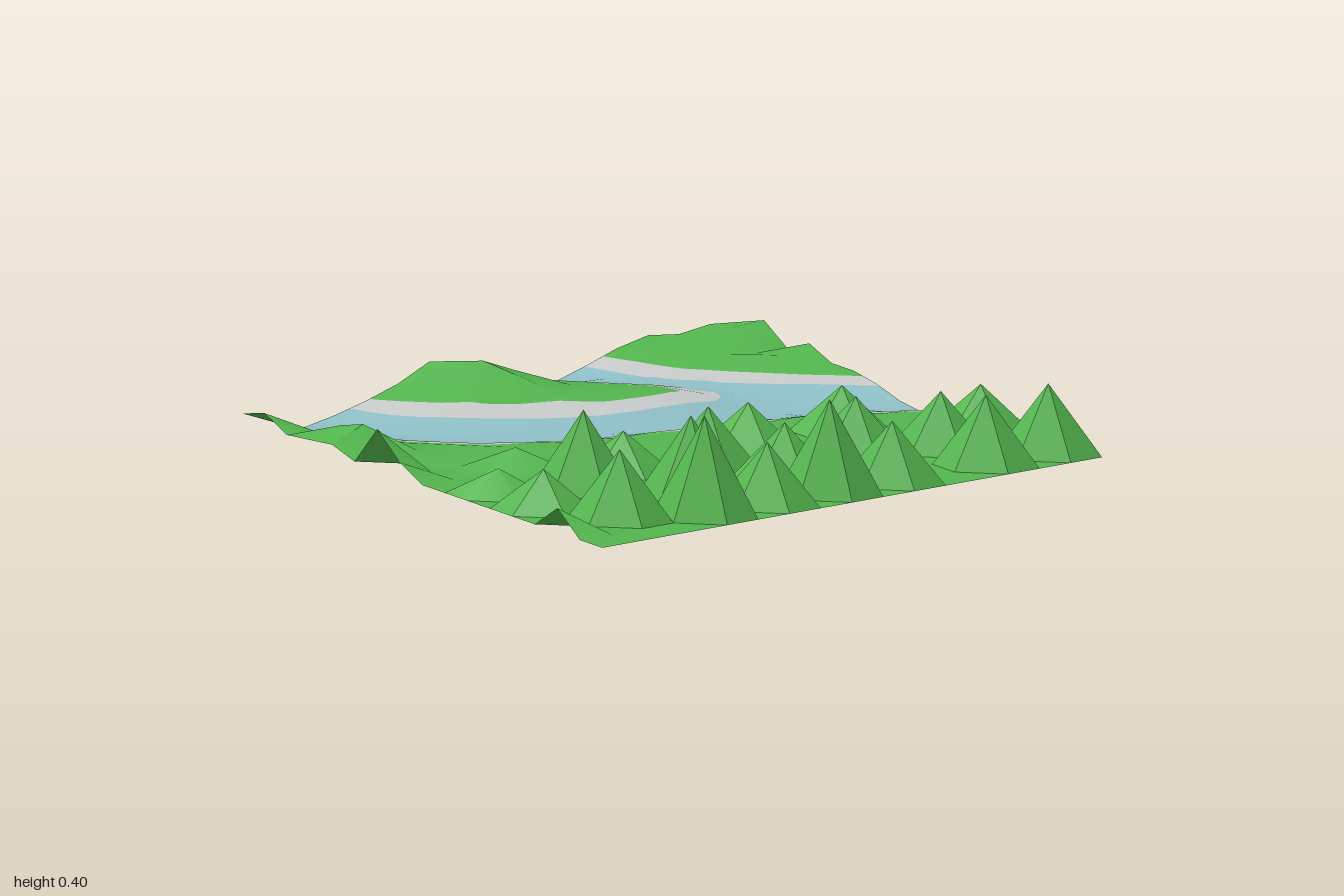
import * as THREE from 'three';
import { toCreasedNormals } from 'three/addons/utils/BufferGeometryUtils.js';

const CELLS = 16, STEP = 2 / CELLS, SUB = 5, BASE = 0.06;

const mat = (name, color) => {
  const m = new THREE.MeshStandardMaterial({ color, side: THREE.DoubleSide });
  m.name = name;
  return m;
};

// smooth bank line, closed far outside the tile by extra corners
function region(points, corners) {
  const curve = new THREE.CatmullRomCurve3(points.map(([x, z]) => new THREE.Vector3(x, 0, z)));
  return [...curve.getPoints(36).map((p) => [p.x, p.z]), ...corners];
}

// signed distance to a closed outline, positive inside
function signedDistance(poly, x, z) {
  let best = Infinity, inside = false;
  for (let i = 0, j = poly.length - 1; i < poly.length; j = i++) {
    const [ax, az] = poly[j], [bx, bz] = poly[i];
    const dx = bx - ax, dz = bz - az, len = dx * dx + dz * dz;
    const t = len ? Math.min(1, Math.max(0, ((x - ax) * dx + (z - az) * dz) / len)) : 0;
    best = Math.min(best, Math.hypot(x - ax - t * dx, z - az - t * dz));
    if ((az > z) !== (bz > z) && x < ax + ((z - az) / dz) * dx) inside = !inside;
  }
  return inside ? best : -best;
}
const level = (polys) => (x, z) => Math.max(...polys.map((p) => signedDistance(p, x, z)));

const southCorners = [[2, 0.8], [2, 2], [-2, 2], [-2, -2], [-1.1, -2]];
const eastCorners = [[2, 0.4], [2, -2], [0.1, -2]];
const islandCorners = [[-0.4, -1.6], [-1, -1.6]];

// grass areas
const grassLevel = level([
  region([[-0.96, -1.15], [-0.935, -1], [-0.87, -0.74], [-0.72, -0.53], [-0.5, -0.315], [-0.235, -0.18],
    [0.085, -0.1], [0.405, -0.037], [0.675, 0.043], [1, 0.235], [1.15, 0.34]], southCorners),
  region([[-0.6, -1.15], [-0.49, -1], [-0.315, -0.82], [-0.02, -0.635], [0.165, -0.545], [0.325, -0.52],
    [0.42, -0.535], [0.325, -0.66], [0.165, -0.82], [0.02, -1], [-0.05, -1.15]], islandCorners),
  region([[0.4, -1.15], [0.445, -1], [0.567, -0.77], [0.78, -0.53], [1, -0.325], [1.15, -0.2]], eastCorners),
]);

// dry land: grass plus its sandy banks
const landLevel = level([
  region([[-0.88, -1.15], [-0.855, -1], [-0.8, -0.77], [-0.66, -0.58], [-0.42, -0.37], [-0.2, -0.265],
    [-0.02, -0.21], [0.43, -0.1], [0.73, 0.005], [1, 0.14], [1.15, 0.23]], southCorners),
  region([[-0.66, -1.15], [-0.57, -1], [-0.475, -0.85], [-0.18, -0.61], [0.085, -0.475], [0.3, -0.44],
    [0.51, -0.45], [0.545, -0.51], [0.46, -0.61], [0.3, -0.77], [0.14, -1], [0.08, -1.15]], islandCorners),
  region([[0.32, -1.15], [0.37, -1], [0.487, -0.74], [0.67, -0.53], [0.86, -0.36], [1, -0.235], [1.15, -0.1]], eastCorners),
]);

// pointed peaks: x, z, height
const peaks = [
  [-0.875, 0.25, 0.15], [-0.375, 0.25, 0.2], [0.125, 0.25, 0.22], [0.5, 0.25, 0.22],
  [-0.625, 0.375, 0.335], [-0.125, 0.375, 0.27],
  [-0.875, 0.5, 0.2], [0.375, 0.5, 0.255], [0.875, 0.5, 0.22],
  [-0.375, 0.625, 0.33], [0, 0.625, 0.25], [0.625, 0.625, 0.26],
  [-0.75, 0.75, 0.3], [-1, 0.75, 0.14],
  [-0.5, 0.875, 0.4], [-0.25, 0.875, 0.275], [0, 0.875, 0.38], [0.25, 0.875, 0.27],
  [0.625, 0.875, 0.3], [0.875, 0.875, 0.3], [-0.625, 0, 0.13],
];

// rolling hills at the sides and back: x, z, height
const hills = [
  [-1, -1, 0.09], [-1, -0.875, 0.117], [-1, -0.75, 0.07], [-1, -0.625, 0.08], [-1, -0.5, 0.09],
  [-0.875, -0.625, 0.11], [-0.875, -0.5, 0.14], [-1, -0.25, 0.195], [-1, -0.125, 0.11],
  [-0.375, -1, 0.095], [-0.25, -1, 0.15], [-0.125, -1, 0.13], [0, -1, 0.09],
  [-0.25, -0.875, 0.1], [-0.125, -0.875, 0.16], [0, -0.875, 0.11], [0, -0.75, 0.09], [0.125, -0.75, 0.07],
  [0.5, -1, 0.08], [0.625, -1, 0.105], [0.75, -1, 0.09], [0.875, -1, 0.105], [1, -1, 0.09],
  [0.75, -0.875, 0.08], [0.875, -0.875, 0.12], [1, -0.875, 0.125], [0.75, -0.75, 0.075],
  [1, -0.625, 0.1], [0.875, -0.625, 0.08],
];
const raised = new Map([...peaks, ...hills].map(([x, z, h]) => [`${x},${z}`, h]));

// the riverbed sinks gently from the grass edge
function height(x, z) {
  return raised.get(`${x},${z}`) ?? BASE * Math.min(1, Math.max(0, 1 + grassLevel(x, z) / 0.2));
}

// coarse folded sheet with creased normals
function coarseTerrain() {
  const pos = [], index = [];
  for (let j = 0; j <= CELLS; j++)
    for (let i = 0; i <= CELLS; i++) {
      const x = -1 + i * STEP, z = -1 + j * STEP;
      pos.push(x, height(x, z), z);
      if (i < CELLS && j < CELLS) {
        const a = j * (CELLS + 1) + i, b = a + CELLS + 1;
        index.push(a, b, b + 1, a, b + 1, a + 1);
      }
    }
  const g = new THREE.BufferGeometry();
  g.setAttribute('position', new THREE.Float32BufferAttribute(pos, 3));
  g.setIndex(index);
  return toCreasedNormals(g, 0.6);
}

// points are [x, y, z, nx, ny, nz, grassLevel, landLevel]
const mix = (a, b, t) => a.map((v, k) => v + (b[k] - v) * t);

// keep the side of a polygon where sign * value[k] >= 0
function clip(poly, k, sign) {
  const out = [];
  poly.forEach((p, i) => {
    const q = poly[(i + 1) % poly.length], a = sign * p[k], b = sign * q[k];
    if (a >= 0) out.push(p);
    if ((a >= 0) !== (b >= 0)) out.push(mix(p, q, a / (a - b)));
  });
  return out;
}

export function createModel() {
  const parts = {
    grassland: { material: mat('grass green', 0x53b64e), pos: [], nor: [] },
    sandyBanks: { material: mat('pale sand', 0xc8caca), pos: [], nor: [] },
    river: { material: mat('river blue', 0x8fbfc7), pos: [], nor: [] },
  };
  const add = (part, poly) => {
    for (let i = 1; i + 1 < poly.length; i++)
      for (const p of [poly[0], poly[i], poly[i + 1]]) {
        part.pos.push(p[0], p[1], p[2]);
        part.nor.push(p[3], p[4], p[5]);
      }
  };

  // split each coarse triangle finely and cut it along the banks
  const coarse = coarseTerrain();
  const P = coarse.attributes.position, N = coarse.attributes.normal;
  for (let t = 0; t < P.count; t += 3) {
    const [a, b, c] = [t, t + 1, t + 2].map((i) =>
      [P.getX(i), P.getY(i), P.getZ(i), N.getX(i), N.getY(i), N.getZ(i)]);
    const grid = [];
    for (let i = 0; i <= SUB; i++) {
      grid.push([]);
      for (let j = 0; j <= i; j++) {
        const p = i ? mix(a, mix(b, c, j / i), i / SUB) : a;
        grid[i].push([...p, grassLevel(p[0], p[2]), landLevel(p[0], p[2])]);
      }
    }
    const paint = (tri) => {
      add(parts.grassland, clip(tri, 6, 1));
      const bare = clip(tri, 6, -1);
      add(parts.sandyBanks, clip(bare, 7, 1));
      add(parts.river, clip(bare, 7, -1));
    };
    for (let i = 0; i < SUB; i++)
      for (let j = 0; j <= i; j++) {
        paint([grid[i][j], grid[i + 1][j], grid[i + 1][j + 1]]);
        if (j < i) paint([grid[i][j], grid[i + 1][j + 1], grid[i][j + 1]]);
      }
  }

  const group = new THREE.Group();
  group.name = 'riverLandscape';
  for (const [name, { material, pos, nor }] of Object.entries(parts)) {
    const g = new THREE.BufferGeometry();
    g.setAttribute('position', new THREE.Float32BufferAttribute(pos, 3));
    g.setAttribute('normal', new THREE.Float32BufferAttribute(nor, 3));
    const mesh = new THREE.Mesh(g, material);
    mesh.name = name;
    group.add(mesh);
  }
  return group;
}
